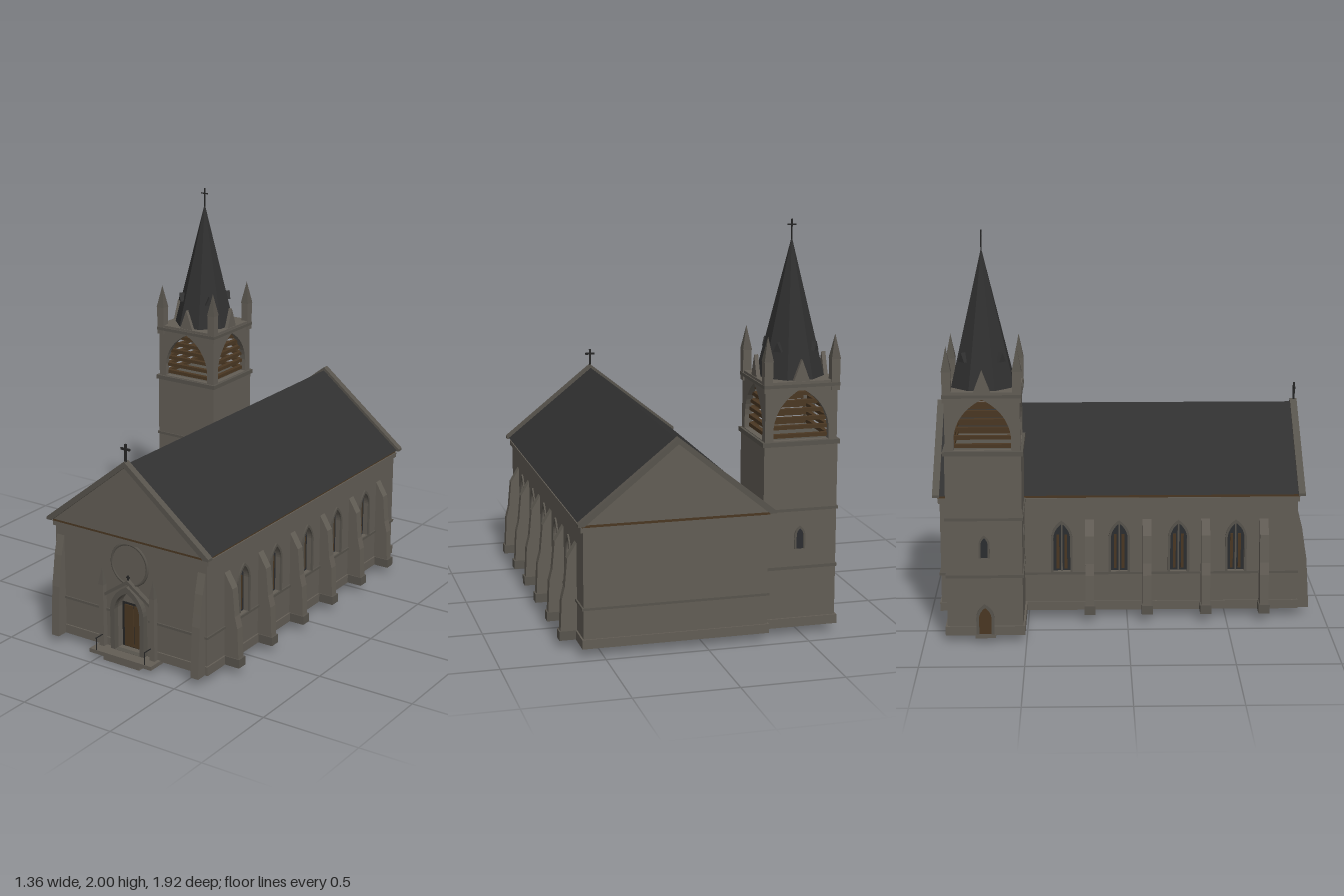
import * as THREE from 'three';

const mat = (name, color, opts = {}) => {
  const m = new THREE.MeshStandardMaterial({ color, ...opts });
  m.name = name;
  return m;
};

export function createModel() {
  const stone = mat('stone', 0x625d55);
  const trim = mat('trim stone', 0x57534c);
  const slate = mat('roof slate', 0x303030, { flatShading: true });
  const wood = mat('brown wood', 0x4a3722);
  const glass = mat('dark glass', 0x2b2d30);
  const iron = mat('iron', 0x252525);

  const root = new THREE.Group();
  root.name = 'church';
  const group = (name, parent, x = 0, y = 0, z = 0, ry = 0) => {
    const g = new THREE.Group();
    g.name = name;
    g.position.set(x, y, z);
    g.rotation.y = ry;
    parent.add(g);
    return g;
  };
  const add = (name, parent, geo, m, x = 0, y = 0, z = 0) => {
    const mesh = new THREE.Mesh(geo, m);
    mesh.name = name;
    mesh.position.set(x, y, z);
    parent.add(mesh);
    return mesh;
  };
  // Box given by its low and high corners
  const box = (name, parent, m, x0, x1, y0, y1, z0, z1) =>
    add(name, parent, new THREE.BoxGeometry(x1 - x0, y1 - y0, z1 - z0), m, (x0 + x1) / 2, (y0 + y1) / 2, (z0 + z1) / 2);
  const poly = pts => new THREE.Shape(pts.map(p => new THREE.Vector2(...p)));
  const rect = (x0, x1, y0, y1) => poly([[x0, y0], [x1, y0], [x1, y1], [x0, y1]]);
  const extrude = (shape, depth) => new THREE.ExtrudeGeometry(shape, { depth, bevelEnabled: false, curveSegments: 8 });
  // Pointed arch outline
  const arch = (cx, w, y0, spring, top) => {
    const h = w / 2, s = new THREE.Shape();
    s.moveTo(cx - h, y0);
    s.lineTo(cx + h, y0);
    s.lineTo(cx + h, spring);
    s.quadraticCurveTo(cx + h * 0.9, (spring + top) / 2 + 0.1 * w, cx, top);
    s.quadraticCurveTo(cx - h * 0.9, (spring + top) / 2 + 0.1 * w, cx - h, spring);
    s.closePath();
    return s;
  };
  const archFrame = (cx, w, y0, spring, top, t) => {
    const s = arch(cx, w + 2 * t, y0, spring, top + t * 1.3);
    s.holes.push(arch(cx, w, y0 + 0.001, spring, top));
    return s;
  };
  const pinnacle = (parent, x, y0, z, half, yMid, yTop) => {
    const g = group('pinnacle', parent, x, 0, z);
    box('pinnacleShaft', g, stone, -half, half, y0, yMid, -half, half);
    const cap = add('pinnacleCap', g, new THREE.ConeGeometry(half * 1.55, yTop - yMid, 4), trim, 0, (yMid + yTop) / 2, 0);
    cap.geometry = cap.geometry.toNonIndexed().rotateY(Math.PI / 4);
    cap.geometry.computeVertexNormals();
  };
  const cross = (name, parent, x, y0, y1, z, arm, t) => {
    const g = group(name, parent, x, 0, z);
    box('crossPost', g, iron, -t, t, y0, y1, -t, t);
    const y = y0 + (y1 - y0) * 0.72;
    box('crossArm', g, iron, -arm, arm, y - t, y + t, -t, t);
  };

  // ---- Nave: local x = 0 is its axis ----
  const nave = group('nave', root, 0.143);
  const H = 0.45, Z0 = -0.94, Z1 = 0.86;
  box('naveCore', nave, stone, -H + 0.03, H - 0.03, 0.04, 0.64, Z0, Z1 - 0.04);
  for (const s of [1, -1]) {
    const side = group(s > 0 ? 'rightSide' : 'leftSide', nave, s * (H - 0.03), 0, 0, s * Math.PI / 2);
    const windows = [0.55, 0.26, -0.04, -0.33, -0.625].slice(0, s > 0 ? 5 : 4).map(z => -s * z);
    const ends = [-s * Z0, -s * (Z1 - 0.04)].sort((a, b) => a - b);
    const wall = rect(ends[0], ends[1], 0.04, 0.64);
    windows.forEach(u => wall.holes.push(arch(u, 0.085, 0.24, 0.42, 0.495)));
    add('sideWall', side, extrude(wall, 0.03), stone);
    for (const u of windows) {
      add('windowGlass', side, extrude(arch(u, 0.085, 0.24, 0.42, 0.495), 0.004), glass);
      for (const k of [-1, 1]) box('woodPane', side, wood, u + k * 0.02 - 0.007, u + k * 0.02 + 0.007, 0.25, 0.43, 0.004, 0.007);
      box('mullion', side, trim, u - 0.004, u + 0.004, 0.24, 0.49, 0.004, 0.015);
      add('windowFrame', side, extrude(archFrame(u, 0.085, 0.24, 0.42, 0.495, 0.012), 0.008), trim, 0, 0, 0.03);
    }
    // Stepped buttresses
    const profile = poly([[-0.01, 0.04], [0.085, 0.04], [0.08, 0.09], [0.073, 0.24], [0.058, 0.3], [0.045, 0.44], [0, 0.515], [-0.01, 0.515]]);
    for (const z of [0.69, 0.395, 0.1, -0.19, -0.485, -0.775].slice(0, s > 0 ? 6 : 4)) {
      const b = group('buttress', nave, s * H, 0, z, s > 0 ? 0 : Math.PI);
      add('buttressBody', b, extrude(profile, 0.044), stone, 0, 0, -0.022);
      box('buttressFoot', b, trim, 0, 0.088, 0.04, 0.085, -0.028, 0.028);
    }
    // Front corner buttresses
    const front = poly([[-0.01, 0.04], [0.065, 0.04], [0.05, 0.3], [0.04, 0.36], [0.025, 0.46], [0, 0.56], [-0.01, 0.56]]);
    const fb = group('frontButtress', nave, s * 0.42, 0, Z1, -Math.PI / 2);
    add('buttressBody', fb, extrude(front, 0.044), stone, 0, 0, -0.022);
  }
  // Front wall with doorway hole
  const frontWall = rect(-H, H, 0.04, 0.64);
  frontWall.holes.push(arch(0, 0.15, 0.045, 0.26, 0.36));
  add('frontWall', nave, extrude(frontWall, 0.04), stone, 0, 0, Z1 - 0.04);

  // Plinth, string course and cornice as bands around the walls
  const band = (name, m, half, y0, y1, z0, z1, gap) => {
    for (const s of [-1, 1]) {
      box(name, nave, m, Math.min(s * H, s * half), Math.max(s * H, s * half), y0, y1, z0, z1);
      box(name, nave, m, s < 0 ? -half : gap, s < 0 ? -gap : half, y0, y1, Z1, z1);
    }
    box(name, nave, m, -half, half, y0, y1, z0, Z0);
  };
  band('plinth', stone, H + 0.008, 0.04, 0.085, Z0 - 0.008, Z1 + 0.008, 0.11);
  band('stringCourse', trim, H + 0.008, 0.228, 0.24, Z0 - 0.008, Z1 + 0.008, 0.11);
  band('cornice', stone, H + 0.012, 0.605, 0.63, Z0 - 0.008, Z1 + 0.008, 0);
  band('eavesBoard', wood, H + 0.006, 0.63, 0.648, Z0 - 0.012, Z1 + 0.012, 0);

  // Roof and gable ends
  add('naveRoof', nave, extrude(poly([[-0.468, 0.645], [0.468, 0.645], [0, 1.018]]), Z1 - Z0), slate, 0, 0, Z0);
  for (const z of [Z1, Z0 - 0.022]) add('gableWall', nave, extrude(poly([[-0.46, 0.645], [0.46, 0.645], [0, 1.02]]), 0.022), stone, 0, 0, z);
  for (const z of [Z1, Z0 - 0.035])
    add('gableCoping', nave, extrude(poly([[-0.48, 0.64], [-0.45, 0.64], [0, 1.005], [0.45, 0.64], [0.48, 0.64], [0.48, 0.652], [0, 1.036], [-0.48, 0.652]]), 0.035), trim, 0, 0, z);
  cross('gableCross', nave, 0, 1.03, 1.12, 0.88, 0.026, 0.005);

  // Rose window ring
  add('roseRing', nave, new THREE.TorusGeometry(0.105, 0.008, 6, 40), trim, 0, 0.5, Z1);
  add('roseDisc', nave, new THREE.CircleGeometry(0.1, 40), stone, 0, 0.5, Z1 + 0.003);

  // Portal
  const portal = group('portal', nave, 0, 0, Z1);
  add('doorRecess', portal, extrude(arch(0, 0.15, 0.045, 0.26, 0.36), 0.004), stone, 0, 0, -0.04);
  box('doorFrame', portal, iron, -0.072, 0.072, 0.045, 0.28, -0.036, -0.032);
  for (const s of [-1, 1]) {
    box('doorLeaf', portal, wood, Math.min(0.003 * s, 0.055 * s), Math.max(0.003 * s, 0.055 * s), 0.05, 0.27, -0.032, -0.026);
    pinnacle(portal, s * 0.152, 0.04, 0.02, 0.014, 0.37, 0.46);
    box('railPost', portal, iron, s * 0.145 - 0.002, s * 0.145 + 0.002, 0.04, 0.11, 0.084, 0.088);
    box('handrail', portal, iron, s * 0.145 - 0.002, s * 0.145 + 0.002, 0.106, 0.11, 0.03, 0.088);
  }
  add('portalArch', portal, extrude(archFrame(0, 0.15, 0.045, 0.26, 0.36, 0.025), 0.03), trim);
  add('portalGable', portal, extrude(poly([[-0.14, 0.31], [0, 0.405], [0.14, 0.31], [0.14, 0.327], [0, 0.425], [-0.14, 0.327]]), 0.025), trim);
  cross('portalFinial', portal, 0, 0.415, 0.448, 0.015, 0.01, 0.003);
  box('landing', portal, stone, -0.185, 0.185, 0.025, 0.045, -0.02, 0.09);
  box('lowerStep', portal, stone, -0.108, 0.108, 0, 0.025, -0.02, 0.08);

  // ---- Tower ----
  const tower = group('tower', root, -0.485, 0, -0.7);
  const sq = (name, m, h, y0, y1) => box(name, tower, m, -h, h, y0, y1, -h, h);
  sq('towerShaft', stone, 0.184, 0.04, 0.945);
  sq('towerPlinth', stone, 0.194, 0.04, 0.085);
  sq('towerStringCourse', trim, 0.19, 0.33, 0.345);
  sq('towerStringCourse', trim, 0.19, 0.618, 0.632);
  sq('belfrySill', trim, 0.193, 0.94, 0.962);
  sq('belfryCeiling', stone, 0.184, 1.218, 1.25);
  sq('belfryCornice', trim, 0.19, 1.222, 1.238);
  for (let i = 0; i < 4; i++) {
    const f = group('towerFace', tower, 0, 0, 0, i * Math.PI / 2);
    // Belfry wall with open arch and louvres
    const wall = rect(-0.18, 0.18, 0.96, 1.222);
    wall.holes.push(arch(0, 0.275, 0.965, 1.03, 1.215));
    add('belfryWall', f, extrude(wall, 0.03), stone, 0, 0, 0.15);
    for (let k = 0; k < 6; k++) {
      const y = 0.982 + k * 0.041;
      const w = 0.145 * Math.min(1, Math.sqrt((1.225 - y) / 0.17));
      box('louvre', f, wood, -w, w, y - 0.009, y + 0.009, 0.135, 0.158);
    }
    add('spireGablet', f, extrude(poly([[-0.04, 1.25], [0.04, 1.25], [0, 1.355]]), 0.02), stone, 0, 0, 0.16);
    pinnacle(f, 0.167, 1.2, 0.167, 0.021, 1.35, 1.47);
    // Lancet on the three free faces and the front
    if (i !== 1) {
      add('lancetGlass', f, extrude(arch(0, 0.034, 0.43, 0.5, 0.532), 0.003), glass, 0, 0, 0.184);
      add('lancetFrame', f, extrude(archFrame(0, 0.034, 0.43, 0.5, 0.532, 0.01), 0.007), trim, 0, 0, 0.184);
    }
    // Side door on the outer face
    if (i === 3) {
      add('sideDoor', f, extrude(arch(0, 0.06, 0.045, 0.13, 0.18), 0.004), wood, 0, 0, 0.192);
      add('sideDoorFrame', f, extrude(archFrame(0, 0.06, 0.045, 0.13, 0.18, 0.014), 0.014), trim, 0, 0, 0.184);
      box('sideDoorStep', f, stone, -0.05, 0.05, 0.025, 0.042, 0.1, 0.196);
    }
    // Small dormer on a diagonal spire face
    const d = group('spireDormer', tower, 0, 0, 0, i * Math.PI / 2 + Math.PI / 4);
    add('dormer', d, extrude(poly([[-0.022, 1.38], [0.022, 1.38], [0, 1.425]]), 0.06), slate, 0, 0, 0.08);
  }
  const spire = add('spire', tower, new THREE.ConeGeometry(0.166, 0.67, 8), slate, 0, 1.58, 0);
  spire.rotation.y = Math.PI / 8;
  cross('spireCross', tower, 0, 1.9, 2, 0, 0.021, 0.003);

  return root;
}
